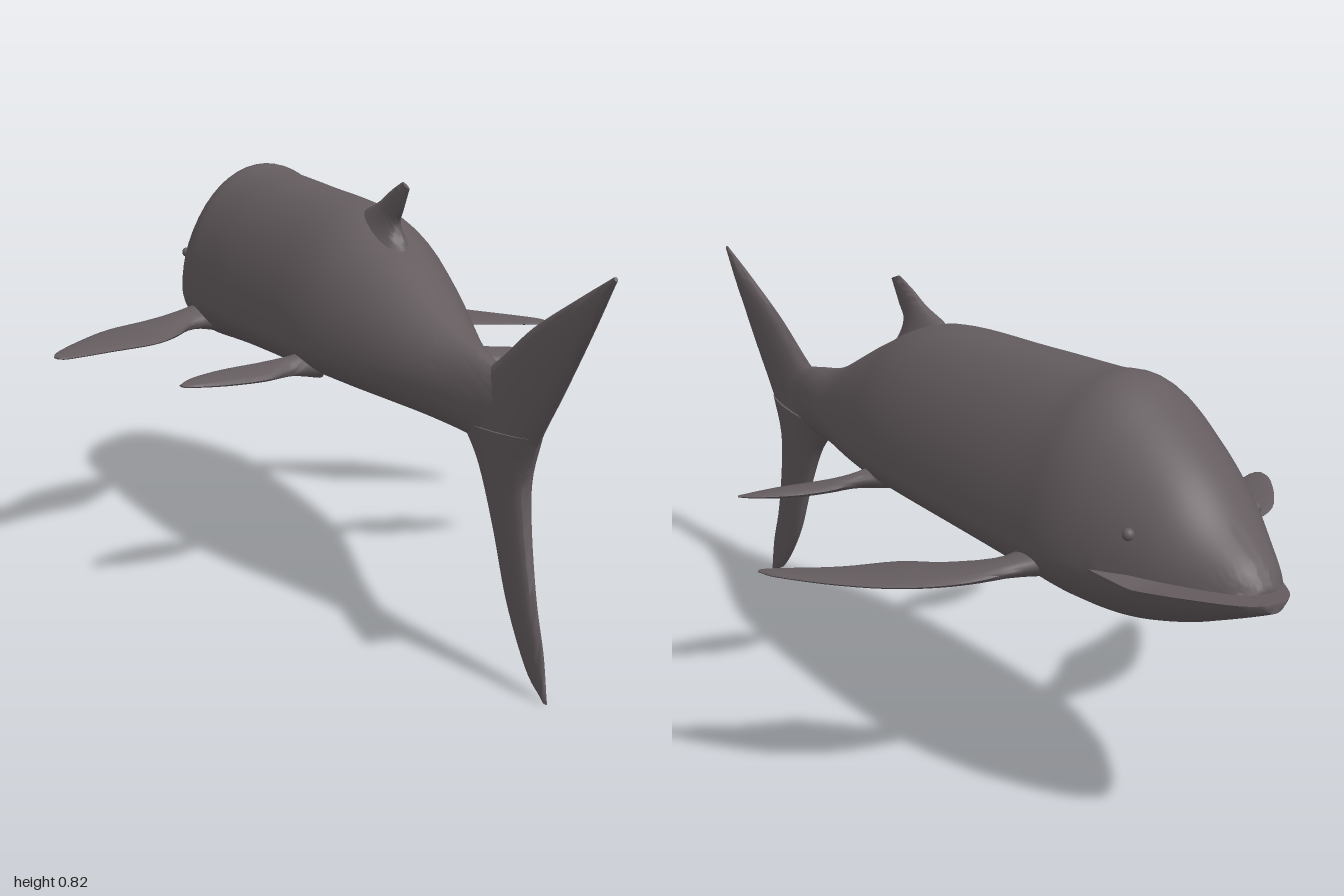
import * as THREE from 'three';
import { mergeGeometries, toCreasedNormals } from 'three/addons/utils/BufferGeometryUtils.js';

const V = (x, y, z) => new THREE.Vector3(x, y, z);
const spline = pts => new THREE.CatmullRomCurve3(pts, false, 'catmullrom', 0.5);

// Skin a list of equal-sized rings and cap both ends; faces are turned outwards
function loft(rings) {
  const n = rings[0].length, tris = [];
  for (let i = 0; i < rings.length - 1; i++)
    for (let j = 0; j < n; j++) {
      const k = (j + 1) % n, a = rings[i][j], b = rings[i][k], c = rings[i + 1][k], d = rings[i + 1][j];
      tris.push([a, b, c], [a, c, d]);
    }
  for (const [ring, flip] of [[rings[0], true], [rings[rings.length - 1], false]]) {
    const mid = ring.reduce((s, p) => s.add(p), V(0, 0, 0)).divideScalar(n);
    ring.forEach((p, j) => {
      const q = ring[(j + 1) % n];
      tris.push(flip ? [mid, q, p] : [mid, p, q]);
    });
  }
  const centre = rings[0][0];
  let volume = 0;
  for (const [a, b, c] of tris)
    volume += a.clone().sub(centre).dot(b.clone().sub(centre).cross(c.clone().sub(centre)));
  if (volume < 0) tris.forEach(t => t.reverse());
  const geo = new THREE.BufferGeometry();
  return geo.setFromPoints(tris.flat());
}

// Lens-shaped fin: stations are [leading point, trailing point, half thickness]
function fin(stations, normal) {
  const lead = spline(stations.map(s => V(...s[0])));
  const trail = spline(stations.map(s => V(...s[1])));
  const thick = spline(stations.map(s => V(s[2], 0, 0)));
  const rings = [];
  for (let i = 0; i <= 24; i++) {
    const a = lead.getPoint(i / 24), b = trail.getPoint(i / 24), h = Math.max(thick.getPoint(i / 24).x, 0.001);
    const ring = [];
    for (let j = 0; j < 16; j++) {
      const u = j / 16 * Math.PI * 2;
      ring.push(a.clone().lerp(b, 0.5 - 0.5 * Math.cos(u)).addScaledVector(normal, h * Math.sin(u)));
    }
    rings.push(ring);
  }
  return toCreasedNormals(loft(rings), 1.2);
}

// Body stations from snout to tail: [z, top, bottom, half width, height of widest point]
const BODY = [
  [-1, 0.515, 0.478, 0.02, 0.497],
  [-0.97, 0.55, 0.465, 0.055, 0.498],
  [-0.9, 0.6, 0.437, 0.095, 0.5],
  [-0.82, 0.67, 0.408, 0.132, 0.5],
  [-0.72, 0.735, 0.385, 0.165, 0.5],
  [-0.62, 0.788, 0.385, 0.187, 0.5],
  [-0.52, 0.782, 0.393, 0.19, 0.5],
  [-0.3, 0.773, 0.408, 0.19, 0.5],
  [0, 0.757, 0.415, 0.175, 0.5],
  [0.18, 0.69, 0.413, 0.142, 0.495],
  [0.4, 0.588, 0.41, 0.08, 0.485],
  [0.55, 0.555, 0.405, 0.042, 0.475],
  [0.68, 0.53, 0.4, 0.016, 0.465],
];
const MOUTH = 4; // station of the mouth corner

function bodyPart(from, to, jaw) {
  const heights = spline(BODY.map(s => V(s[0], s[1], s[2])));
  const widths = spline(BODY.map(s => V(s[0], s[3], s[4])));
  const rings = [], steps = (to - from) * 6, n = 56;
  for (let i = 0; i <= steps; i++) {
    const t = (from + (to - from) * i / steps) / (BODY.length - 1);
    const { x: z, y: top, z: bottom } = heights.getPoint(t);
    const { y: w, z: mid } = widths.getPoint(t);
    const open = Math.min(1, Math.max(0, (-0.72 - z) / 0.08));
    const rise = Math.max(0, (-0.8 - z) / 0.2);
    const upperLip = 0.498 + 0.008 * open;
    const lowerLip = 0.498 - 0.016 * open + 0.012 * rise;
    const ring = [];
    for (let j = 0; j < n; j++) {
      const u = j / n * Math.PI * 2, s = Math.sin(u);
      let y = mid + s * (s > 0 ? top - mid : mid - bottom), zz = z;
      if (jaw === 'upper') { y = Math.max(y, upperLip); zz = -0.72 + (z + 0.72) * 0.93; }
      if (jaw === 'lower') y = Math.min(y, lowerLip);
      ring.push(V(w * Math.cos(u), y, zz));
    }
    rings.push(ring);
  }
  return loft(rings);
}

export function createModel() {
  const model = new THREE.Group();
  const skin = new THREE.MeshStandardMaterial({ color: 0x645c5f });
  skin.name = 'greySkin';
  const add = (name, geo) => {
    const mesh = new THREE.Mesh(geo, skin);
    mesh.name = name;
    model.add(mesh);
    return mesh;
  };

  // Trunk and both jaws, smoothed together with sharp lips
  add('body', toCreasedNormals(mergeGeometries([
    bodyPart(MOUTH, BODY.length - 1),
    bodyPart(0, MOUTH, 'upper'),
    bodyPart(0, MOUTH, 'lower'),
  ]), 0.9));

  // Upright fins lie in the middle plane: points are (z, y)
  const upright = list => fin(list.map(([a, b, h]) => [[0, a[1], a[0]], [0, b[1], b[0]], h]), V(1, 0, 0));
  add('dorsalFin', upright([
    [[-0.02, 0.73], [0.24, 0.64], 0.05],
    [[0.02, 0.757], [0.18, 0.69], 0.03],
    [[0.08, 0.778], [0.157, 0.735], 0.016],
    [[0.13, 0.803], [0.18, 0.768], 0.009],
    [[0.18, 0.823], [0.212, 0.812], 0.003],
  ]));
  add('upperTailLobe', upright([
    [[0.48, 0.5], [0.72, 0.38], 0.03],
    [[0.6, 0.557], [0.755, 0.445], 0.024],
    [[0.73, 0.635], [0.835, 0.54], 0.018],
    [[0.89, 0.71], [0.93, 0.66], 0.012],
    [[0.995, 0.757], [1, 0.75], 0.003],
  ]));
  add('lowerTailLobe', upright([
    [[0.46, 0.43], [0.755, 0.45], 0.034],
    [[0.535, 0.37], [0.722, 0.37], 0.027],
    [[0.595, 0.265], [0.725, 0.285], 0.021],
    [[0.65, 0.14], [0.75, 0.17], 0.015],
    [[0.725, 0.04], [0.782, 0.085], 0.009],
    [[0.785, 0.005], [0.8, 0.002], 0.003],
  ]));

  // Paired side fins and eyes
  for (const [side, s] of [['left', 1], ['right', -1]]) {
    const flat = list => fin(list.map(([a, b, h]) =>
      [[s * a[0], a[1], a[2]], [s * b[0], b[1], b[2]], h]), V(0, 1, 0));
    add(side + 'PectoralFin', flat([
      [[0.14, 0.475, -0.62], [0.14, 0.455, -0.48], 0.034],
      [[0.2, 0.465, -0.59], [0.2, 0.45, -0.505], 0.02],
      [[0.3, 0.452, -0.567], [0.27, 0.44, -0.435], 0.013],
      [[0.4, 0.447, -0.52], [0.33, 0.438, -0.38], 0.01],
      [[0.48, 0.443, -0.44], [0.43, 0.436, -0.345], 0.008],
      [[0.55, 0.441, -0.345], [0.53, 0.437, -0.295], 0.005],
      [[0.567, 0.44, -0.3], [0.555, 0.438, -0.288], 0.002],
    ]));
    add(side + 'PelvicFin', flat([
      [[0.12, 0.465, -0.01], [0.12, 0.455, 0.08], 0.03],
      [[0.175, 0.462, 0.015], [0.175, 0.45, 0.062], 0.018],
      [[0.245, 0.456, 0.005], [0.24, 0.444, 0.093], 0.011],
      [[0.32, 0.452, 0.02], [0.315, 0.443, 0.106], 0.009],
      [[0.385, 0.449, 0.055], [0.37, 0.443, 0.105], 0.006],
      [[0.418, 0.446, 0.09], [0.412, 0.444, 0.1], 0.002],
    ]));
    const eye = add(side + 'Eye', new THREE.SphereGeometry(0.011, 16, 12));
    eye.position.set(s * 0.133, 0.572, -0.785);
  }
  return model;
}
